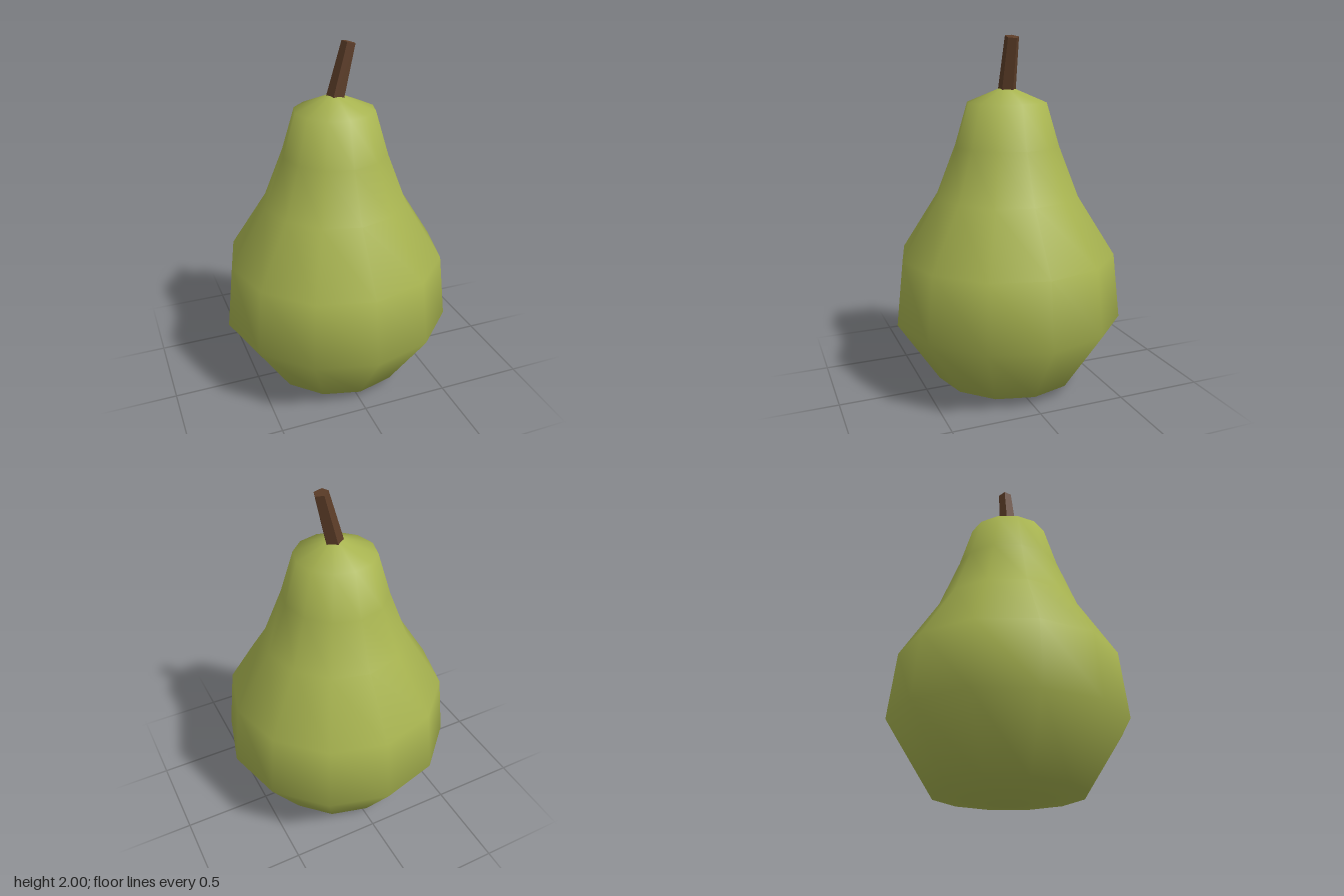
import * as THREE from 'three';

export function createModel() {
  const model = new THREE.Group();
  model.name = 'pear';

  // Fruit body: smooth-shaded twelve-sided lathe, pole to pole
  const profile = [
    [0, 0], [0.42, 0.06], [0.656, 0.42], [0.615, 0.79], [0.405, 1.12],
    [0.295, 1.4], [0.223, 1.64], [0.04, 1.716], [0, 1.72],
  ].map(([r, y]) => new THREE.Vector2(r, y));
  const body = new THREE.Mesh(
    new THREE.LatheGeometry(profile, 12),
    new THREE.MeshStandardMaterial({ color: 0xa8b450 })
  );
  body.name = 'fruitBody';
  model.add(body);

  // Stem: tapered five-sided stick leaning to the left, sunk into the crown
  const base = new THREE.Vector3(-0.007, 1.65, 0);
  const tip = new THREE.Vector3(0.08, 1.99, 0);
  const axis = tip.clone().sub(base);
  const stemGeometry = new THREE.CylinderGeometry(0.04, 0.054, axis.length(), 5);
  stemGeometry.rotateY(Math.PI);
  const stem = new THREE.Mesh(
    stemGeometry,
    new THREE.MeshStandardMaterial({ color: 0x5c3d28, flatShading: true })
  );
  stem.name = 'stem';
  stem.position.copy(base).add(tip).multiplyScalar(0.5);
  stem.quaternion.setFromUnitVectors(new THREE.Vector3(0, 1, 0), axis.normalize());
  model.add(stem);

  return model;
}
